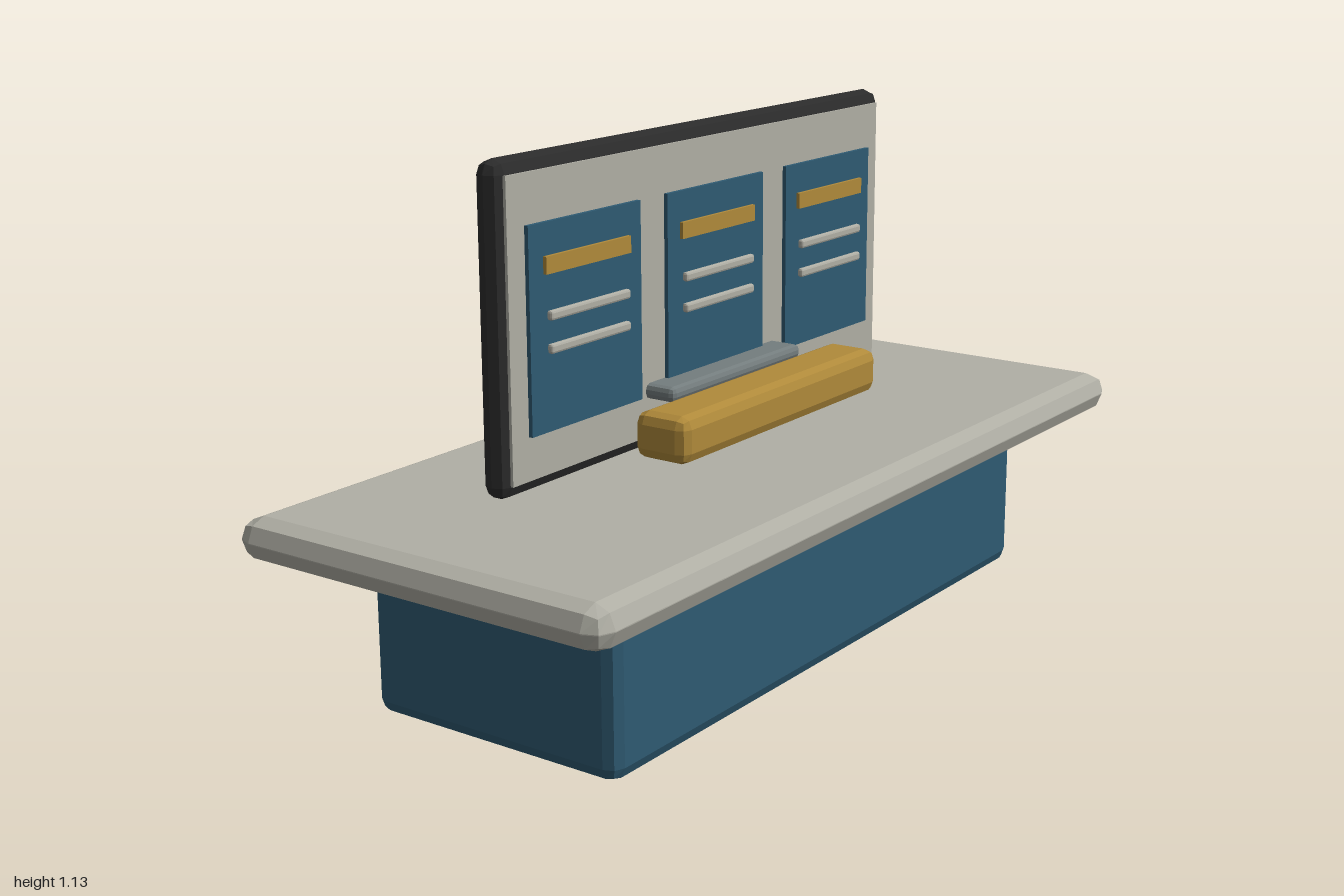
import * as THREE from 'three';
import { RoundedBoxGeometry } from 'three/addons/geometries/RoundedBoxGeometry.js';

function flat(name, color) {
  const m = new THREE.MeshStandardMaterial({ color, flatShading: true });
  m.name = name;
  return m;
}

export function createModel() {
  const blue = flat('blue', 0x2f5b73);
  const gold = flat('gold', 0xb08a3a);
  const stone = flat('stone', 0xb0afa5);
  const dark = flat('charcoal', 0x2b2b2b);
  const grey = flat('grey', 0x747d7e);

  const model = new THREE.Group();
  model.name = 'serviceDesk';

  // Box given by its extents on each axis; a radius bevels the edges
  function box(name, material, [x0, x1], [y0, y1], [z0, z1], radius = 0, parent = model) {
    const size = [x1 - x0, y1 - y0, z1 - z0];
    const geometry = radius
      ? new RoundedBoxGeometry(...size, 1, radius)
      : new THREE.BoxGeometry(...size);
    const mesh = new THREE.Mesh(geometry, material);
    mesh.position.set((x0 + x1) / 2, (y0 + y1) / 2, (z0 + z1) / 2);
    mesh.name = name;
    parent.add(mesh);
    return mesh;
  }
  const around = (centre, width) => [centre - width / 2, centre + width / 2];

  // Counter
  box('base', blue, [-0.78, 0.78], [0, 0.33], [-0.305, 0.305], 0.03);
  box('trim', gold, [-0.8, 0.8], [0.325, 0.36], [-0.327, 0.327], 0.012);
  box('counterTop', stone, [-1, 1], [0.355, 0.445], [-0.45, 0.45], 0.044);

  // Display board
  box('boardFrame', dark, [-0.69, 0.69], [0.465, 1.13], [-0.09, -0.03], 0.029);
  box('boardFace', stone, [-0.665, 0.665], [0.495, 1.1], [-0.034, -0.025]);

  // Three information cards, each with a heading and two lines
  for (const x of [-0.441, 0, 0.441]) {
    const card = new THREE.Group();
    card.name = 'card';
    model.add(card);
    box('cardPanel', blue, around(x, 0.35), [0.585, 1], [-0.024, -0.015], 0, card);
    box('cardHeading', gold, around(x, 0.265), [0.9, 0.935], [-0.0155, -0.007], 0, card);
    for (const y of [0.818, 0.752]) {
      box('cardLine', stone, around(x, 0.25), around(y, 0.02), [-0.016, -0.002], 0.005, card);
    }
  }

  // Shelf through the board and the bar in front of it
  box('shelf', grey, [-0.24, 0.24], [0.577, 0.61], [-0.168, 0.045], 0.012);
  box('frontBar', gold, [-0.37, 0.37], [0.492, 0.592], [0.038, 0.168], 0.025);

  return model;
}
